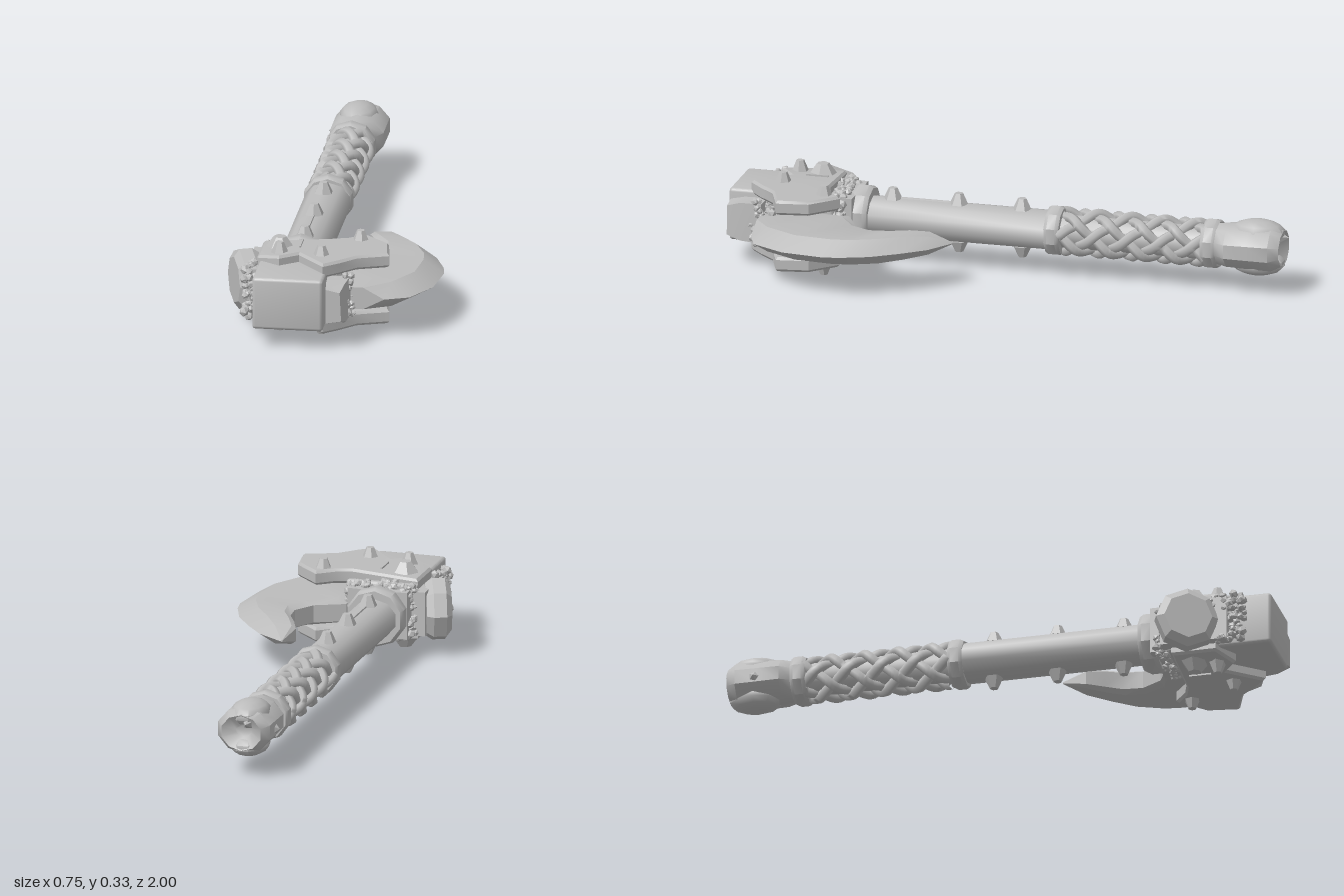
import * as THREE from 'three';
import { mergeGeometries, toCreasedNormals } from 'three/addons/utils/BufferGeometryUtils.js';
import { RoundedBoxGeometry } from 'three/addons/geometries/RoundedBoxGeometry.js';

const AX = -0.15, AY = 0.16; // handle axis

export function createModel() {
  const group = new THREE.Group();
  const stone = new THREE.MeshStandardMaterial({ color: 0xbcbcbc });
  stone.name = 'grey stone';

  let seed = 7;
  const rand = (a, b) => {
    seed = (seed * 16807) % 2147483647;
    return a + (b - a) * seed / 2147483647;
  };

  const add = (name, geo, crease = 0.6) => {
    const mesh = new THREE.Mesh(toCreasedNormals(geo, crease), stone);
    mesh.name = name;
    group.add(mesh);
    return mesh;
  };

  // Skin closed cross-sections, cap both ends, and turn faces outward
  function loft(rings) {
    const n = rings[0].length, pos = rings.flat(2), idx = [];
    for (let i = 0; i < rings.length - 1; i++)
      for (let j = 0; j < n; j++) {
        const a = i * n + j, b = i * n + (j + 1) % n;
        idx.push(a, b, a + n, b, b + n, a + n);
      }
    const last = (rings.length - 1) * n;
    for (let j = 1; j < n - 1; j++) idx.push(0, j + 1, j, last, last + j, last + j + 1);
    const v = i => new THREE.Vector3().fromArray(pos, i * 3);
    let volume = 0;
    for (let i = 0; i < idx.length; i += 3) volume += v(idx[i]).dot(v(idx[i + 1]).cross(v(idx[i + 2])));
    if (volume < 0) idx.reverse();
    const geo = new THREE.BufferGeometry();
    geo.setAttribute('position', new THREE.Float32BufferAttribute(pos, 3));
    geo.setIndex(idx);
    return geo;
  }

  // Shaft
  const shaft = new THREE.CylinderGeometry(0.083, 0.083, 0.75, 10);
  shaft.rotateX(Math.PI / 2).scale(1, 0.85, 1).translate(AX, AY, 0.24);
  add('shaft', shaft, 0.8);

  // Collars
  const collar = (name, z, r, w) => {
    const p = [[0.03, -w], [r * 0.92, -w], [r, -w * 0.55], [r, w * 0.55], [r * 0.92, w], [0.03, w]];
    const geo = new THREE.LatheGeometry(p.map(q => new THREE.Vector2(...q)), 10);
    add(name, geo.rotateX(Math.PI / 2).translate(AX, AY, z));
  };
  collar('headCollar', 0.545, 0.108, 0.033);
  collar('gripFrontCollar', -0.155, 0.09, 0.027);
  collar('gripBackCollar', -0.725, 0.09, 0.027);

  // Braided grip: four strands each way, passing over and under
  const core = new THREE.CylinderGeometry(0.06, 0.06, 0.56, 12);
  add('gripCore', core.rotateX(Math.PI / 2).translate(AX, AY, -0.44));
  const strands = [];
  for (const dir of [1, -1])
    for (let k = 0; k < 4; k++) {
      const pts = [];
      for (let i = 0; i <= 44; i++) {
        const s = i / 44 * Math.PI * 2.2, a = k * Math.PI / 2 + dir * s;
        const r = 0.062 + dir * 0.01 * Math.cos(4 * s);
        pts.push(new THREE.Vector3(AX + r * Math.cos(a), AY + r * Math.sin(a), -0.18 - 0.53 * i / 44));
      }
      strands.push(new THREE.TubeGeometry(new THREE.CatmullRomCurve3(pts), 60, 0.019, 6));
    }
  add('gripBraid', mergeGeometries(strands), 1.2);

  // Pommel: swelling body, notched at its end, with rounded lobes
  const sections = [[-0.75, 0.075, 0.075], [-0.79, 0.1, 0.08], [-0.87, 0.1, 0.083], [-0.95, 0.1, 0.085], [-0.985, 0.075, 0.065], [-0.955, 0.03, 0.02]];
  add('pommel', loft(sections.map(([z, rx, ry]) =>
    Array.from({ length: 10 }, (_, j) => {
      const a = (j + 0.5) / 10 * Math.PI * 2;
      return [AX + 0.01 + rx * Math.cos(a), AY + 0.005 + ry * Math.sin(a), z];
    }))), 0.7);
  for (const s of [1, -1]) {
    const lobe = new THREE.SphereGeometry(1, 10, 7).scale(0.07, 0.045, 0.1);
    add('pommelLobe', lobe.translate(AX + 0.005, AY + 0.003 + s * 0.056, -0.89), 0.9);
  }
  const spur = new THREE.ConeGeometry(0.07, 0.06, 5).rotateZ(Math.PI / 2);
  add('pommelSpur', spur.translate(-0.22, AY, -0.88));
  const tip = new THREE.ConeGeometry(0.05, 0.08, 5).rotateX(-Math.PI / 2);
  add('pommelTip', tip.translate(-0.16, 0.2, -0.96));

  // Head block with softly bulging faces
  const block = new RoundedBoxGeometry(0.25, 0.19, 0.38, 2, 0.012);
  add('headBlock', block.translate(-0.135, 0.165, 0.81));
  const neck = new THREE.BoxGeometry(0.22, 0.17, 0.08);
  add('headNeck', neck.translate(-0.145, 0.163, 0.6));

  // Small tapered block beside the front face
  add('frontWedge', loft([
    [[-0.01, 0.09, 0.86], [0.07, 0.09, 0.86], [0.07, 0.235, 0.86], [-0.01, 0.235, 0.86]],
    [[-0.005, 0.09, 0.94], [0.065, 0.095, 0.94], [0.06, 0.232, 0.94], [-0.005, 0.235, 0.94]],
    [[0, 0.1, 0.99], [0.055, 0.11, 0.99], [0.05, 0.215, 0.99], [0, 0.225, 0.99]],
  ]));

  // Curved blade: each station gives inner x,z, outer x,z and half thickness
  const stations = [
    [0.076, 0.162, 0.082, 0.16, 0.003], [0.055, 0.25, 0.18, 0.225, 0.033],
    [0.08, 0.31, 0.25, 0.31, 0.042], [0.113, 0.37, 0.312, 0.4, 0.045],
    [0.12, 0.44, 0.35, 0.5, 0.045], [0.075, 0.515, 0.36, 0.56, 0.045],
    [-0.03, 0.565, 0.342, 0.71, 0.045], [-0.03, 0.7, 0.275, 0.83, 0.045],
    [-0.03, 0.86, 0.19, 0.865, 0.04],
  ];
  add('blade', loft(stations.map(([ix, iz, ox, oz, h]) => {
    const t = Math.min(0.42, 0.075 / Math.hypot(ox - ix, oz - iz));
    const at = (f, y) => [ox + (ix - ox) * f, 0.155 + y, oz + (iz - oz) * f];
    return [at(1, -h * 0.7), at(0.88, -h), at(t, -h), at(0, 0), at(t, h), at(0.88, h), at(1, h * 0.7)];
  })), 0.5);

  // Jagged plates above and below the head, drooping at the hammer end
  const outline = [[-0.265, 0.645], [-0.03, 0.64], [0.03, 0.62], [0.085, 0.575], [0.175, 0.66], [0.192, 0.77],
    [0.085, 0.81], [0.03, 0.87], [-0.02, 0.915], [-0.12, 0.8], [-0.185, 0.85], [-0.265, 0.8]];
  for (const s of [1, -1]) {
    const shape = new THREE.Shape(outline.map(p => new THREE.Vector2(...p)));
    const geo = new THREE.ExtrudeGeometry(shape, {
      depth: 0.034, bevelThickness: 0.009, bevelSize: 0.008, bevelOffset: -0.004, bevelSegments: 1,
    });
    geo.rotateX(Math.PI / 2).translate(0, 0.017 + 0.164 + s * 0.104, 0);
    const p = geo.attributes.position;
    for (let i = 0; i < p.count; i++)
      if (p.getX(i) < -0.23) p.setY(i, p.getY(i) - s * 0.018);
    add(s > 0 ? 'upperPlate' : 'lowerPlate', geo);
  }

  // Hammer disc on the back of the head
  const profile = [[0, -0.045], [0.095, -0.045], [0.112, -0.02], [0.112, 0.025], [0.085, 0.045], [0, 0.045]];
  const disc = new THREE.LatheGeometry(profile.map(q => new THREE.Vector2(...q)), 8);
  add('hammerDisc', disc.rotateX(Math.PI / 8).rotateZ(Math.PI / 2).translate(-0.32, 0.155, 0.71), 0.4);
  const hub = new THREE.BoxGeometry(0.08, 0.16, 0.24);
  add('hammerHub', hub.translate(-0.265, 0.16, 0.73));

  // Studs on the shaft and the plates
  const stud = (x, y, z, s, r, h) => {
    const geo = new THREE.CylinderGeometry(r * 0.45, r, h, 6);
    geo.rotateY(x * 40 + z * 9);
    if (s < 0) geo.rotateX(Math.PI);
    add('stud', geo.translate(x, y, z), 0.1);
  };
  for (const s of [1, -1]) {
    for (const z of [-0.03, 0.2, 0.44]) stud(AX, AY + s * 0.087, z, s, 0.034, 0.04);
    for (const [x, z] of [[0.075, 0.63], [-0.04, 0.81], [-0.19, 0.79]]) stud(x, 0.164 + s * 0.142, z, s, 0.032, 0.042);
    stud(-0.2, 0.164 + s * 0.136, 0.71, s, 0.05, 0.038);
    const groove = new THREE.BoxGeometry(0.006, 0.006, 0.08);
    add('plateRidge', groove.translate(-0.125, 0.164 + s * 0.132, 0.71));
  }
  const cord = new THREE.CylinderGeometry(0.005, 0.005, 0.22, 5);
  add('shaftCord', cord.rotateX(Math.PI / 2).translate(AX, AY + 0.07, 0.32));

  // Pebble clusters packed into the joints
  const pebbles = (name, count, x0, x1, y0, y1, z0, z1) => {
    const list = [];
    for (let i = 0; i < count; i++) {
      const r = rand(0.011, 0.018);
      const geo = new THREE.IcosahedronGeometry(r, 0);
      geo.scale(1, rand(0.7, 1.1), rand(0.8, 1.1)).rotateX(rand(0, 3)).rotateY(rand(0, 3));
      list.push(geo.translate(rand(x0, x1), rand(y0, y1), rand(z0, z1)));
    }
    add(name, mergeGeometries(list), 0.3);
  };
  pebbles('neckPebblesTop', 60, -0.26, -0.03, 0.235, 0.26, 0.585, 0.64);
  pebbles('neckPebblesBottom', 60, -0.26, -0.03, 0.07, 0.095, 0.585, 0.64);
  pebbles('neckPebblesLeft', 40, -0.04, -0.02, 0.08, 0.25, 0.585, 0.64);
  pebbles('neckPebblesRight', 40, -0.27, -0.25, 0.08, 0.25, 0.585, 0.64);
  pebbles('hammerPebbles', 100, -0.305, -0.265, 0.08, 0.25, 0.79, 0.91);
  pebbles('bladePebbles', 80, 0.0, 0.08, 0.08, 0.25, 0.82, 0.9);
  return group;
}
